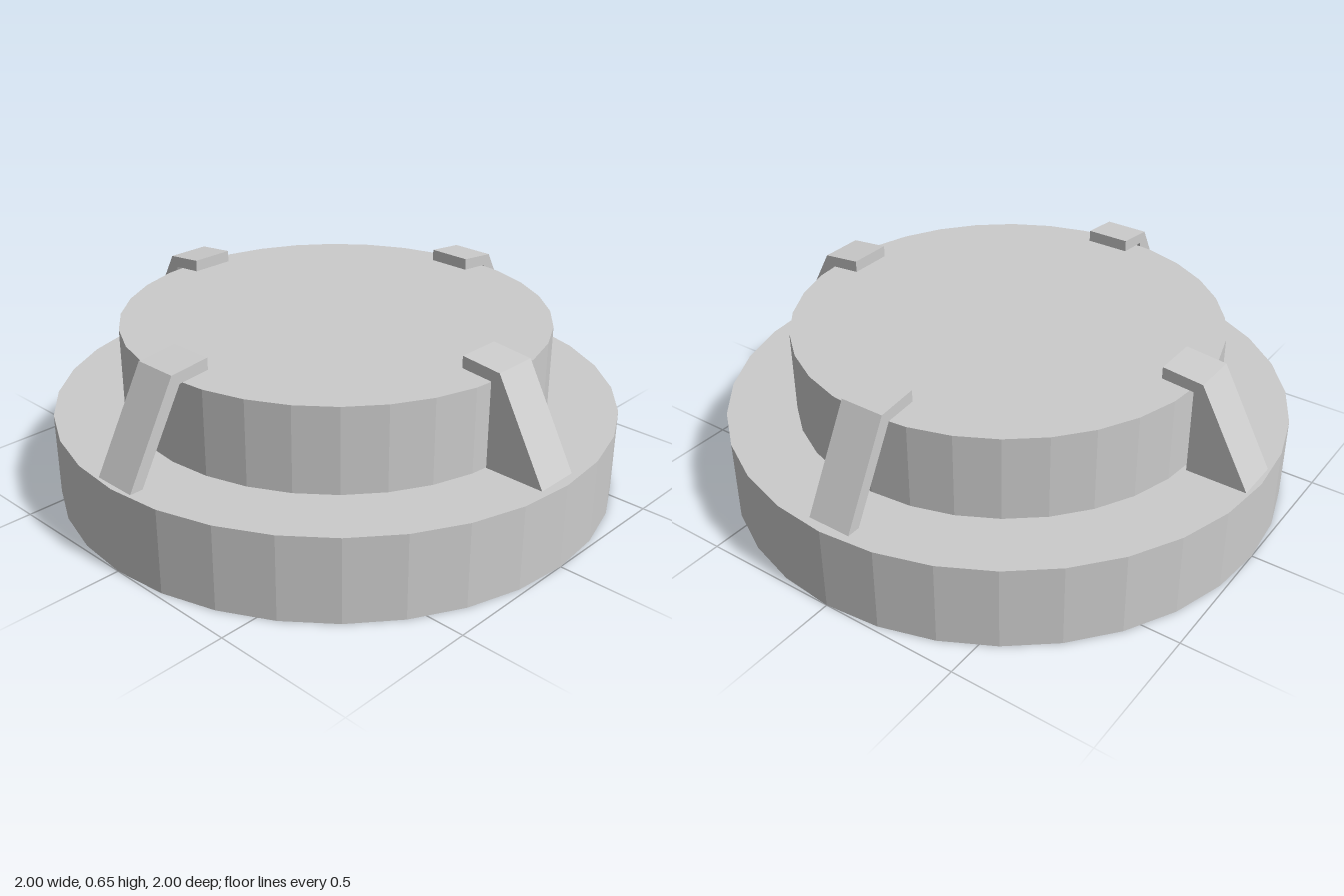
import * as THREE from 'three';

export function createModel() {
  const model = new THREE.Group();
  model.name = 'clippedCap';
  const material = new THREE.MeshStandardMaterial({ color: 0xcccccc, flatShading: true });
  const sheet = new THREE.MeshStandardMaterial({ color: 0xcccccc, flatShading: true, side: THREE.DoubleSide });
  const points = (list) => list.map(([x, y]) => new THREE.Vector2(x, y));

  // Wide ring with a raised disc, recessed underneath
  const bodyProfile = points([
    [0, 0.235], [0.755, 0.235], [0.755, 0], [1, 0],
    [1, 0.3], [0.755, 0.3], [0.755, 0.6], [0, 0.6],
  ]);
  const body = new THREE.Mesh(new THREE.LatheGeometry(bodyProfile, 32), material);
  body.name = 'ringAndDisc';
  model.add(body);

  // Bent strap from the ring up and over the disc edge
  const width = 0.16;
  const strapGeometry = new THREE.ExtrudeGeometry(new THREE.Shape(points([
    [0.925, 0.3], [0.973, 0.3], [0.787, 0.64], [0.643, 0.655], [0.643, 0.613], [0.757, 0.603],
  ])), { depth: width, bevelEnabled: false });
  strapGeometry.translate(0, 0, -width / 2);

  // Thin web closing one side of the strap
  const webGeometry = new THREE.ShapeGeometry(new THREE.Shape(points([
    [0.757, 0.3], [0.925, 0.3], [0.757, 0.603],
  ])));
  webGeometry.translate(0, 0, width / 2);

  // Four clips, set slightly off the body's centre
  const clips = new THREE.Group();
  clips.name = 'clips';
  clips.position.set(-0.008, 0, -0.008);
  for (let i = 0; i < 4; i++) {
    const clip = new THREE.Group();
    clip.name = `clip${i + 1}`;
    const strap = new THREE.Mesh(strapGeometry, material);
    strap.name = 'clipStrap';
    const web = new THREE.Mesh(webGeometry, sheet);
    web.name = 'clipWeb';
    clip.add(strap, web);
    clip.rotation.y = (i * Math.PI) / 2;
    clips.add(clip);
  }
  model.add(clips);
  return model;
}
